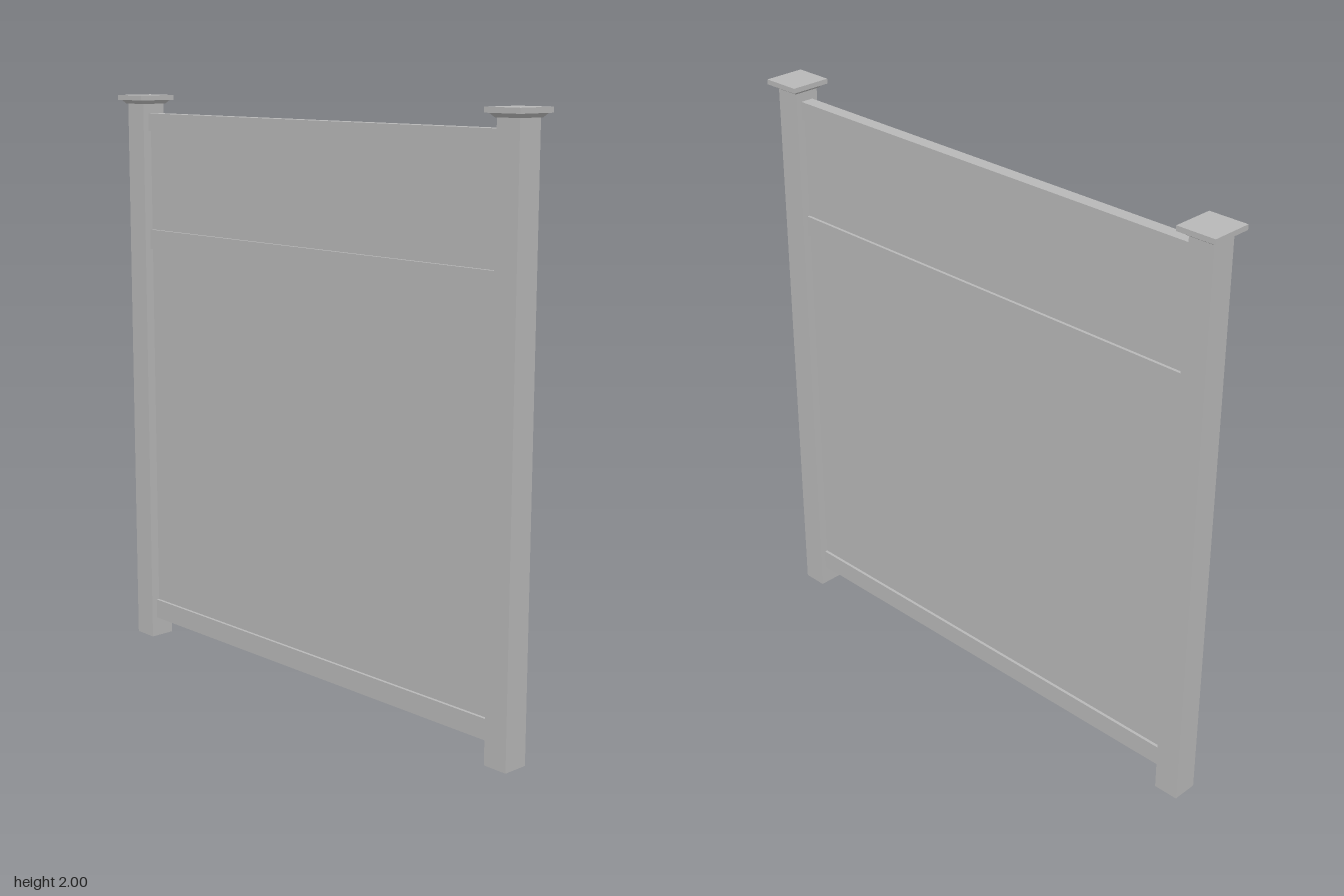
import * as THREE from 'three';

const grey = new THREE.MeshStandardMaterial({ color: 0xb8b8b8 });
grey.name = 'plain grey';

// Square prism or frustum with flat sides; top and bottom are [width, depth]
function squareTube(top, bottom, height, open) {
  const geo = new THREE.CylinderGeometry(Math.SQRT1_2, Math.SQRT1_2, height, 4, 1, open)
    .rotateY(Math.PI / 4).toNonIndexed();
  const p = geo.attributes.position;
  for (let i = 0; i < p.count; i++) {
    const size = p.getY(i) > 0 ? top : bottom;
    p.setX(i, p.getX(i) * size[0]);
    p.setZ(i, p.getZ(i) * size[1]);
  }
  geo.computeVertexNormals();
  return geo;
}

function add(parent, name, geometry, y, z = 0) {
  const mesh = new THREE.Mesh(geometry, grey);
  mesh.name = name;
  mesh.position.set(0, y, z);
  parent.add(mesh);
}

export function createModel() {
  const fence = new THREE.Group();
  fence.name = 'fencePanel';

  const postSize = [0.09, 0.088];
  const capSize = [0.145, 0.137];
  const postZ = 0.877;
  const span = 2 * (postZ - 0.044);

  // Hollow posts, open at the foot, with a tapered collar and flat cap
  for (const [side, s] of [['front', 1], ['back', -1]]) {
    const post = new THREE.Group();
    post.name = side + 'Post';
    add(post, side + 'PostShaft', squareTube(postSize, postSize, 1.975, true), 0.9875, s * postZ);
    add(post, side + 'CapCollar', squareTube([0.125, 0.118], [0.1, 0.096], 0.013, false), 1.9765, s * postZ);
    add(post, side + 'CapPlate', squareTube(capSize, capSize, 0.017, false), 1.9915, s * postZ);
    fence.add(post);
  }

  // Horizontal rails: name, bottom, top
  for (const [name, y0, y1] of [['bottomRail', 0.07, 0.14], ['middleRail', 1.455, 1.525], ['topRail', 1.875, 1.937]]) {
    add(fence, name, new THREE.BoxGeometry(0.047, y1 - y0, span), (y0 + y1) / 2);
  }

  // Infill boards between the rails
  for (const [name, y0, y1] of [['lowerPanel', 0.14, 1.455], ['upperPanel', 1.525, 1.875]]) {
    add(fence, name, new THREE.BoxGeometry(0.026, y1 - y0, span), (y0 + y1) / 2);
  }

  return fence;
}
